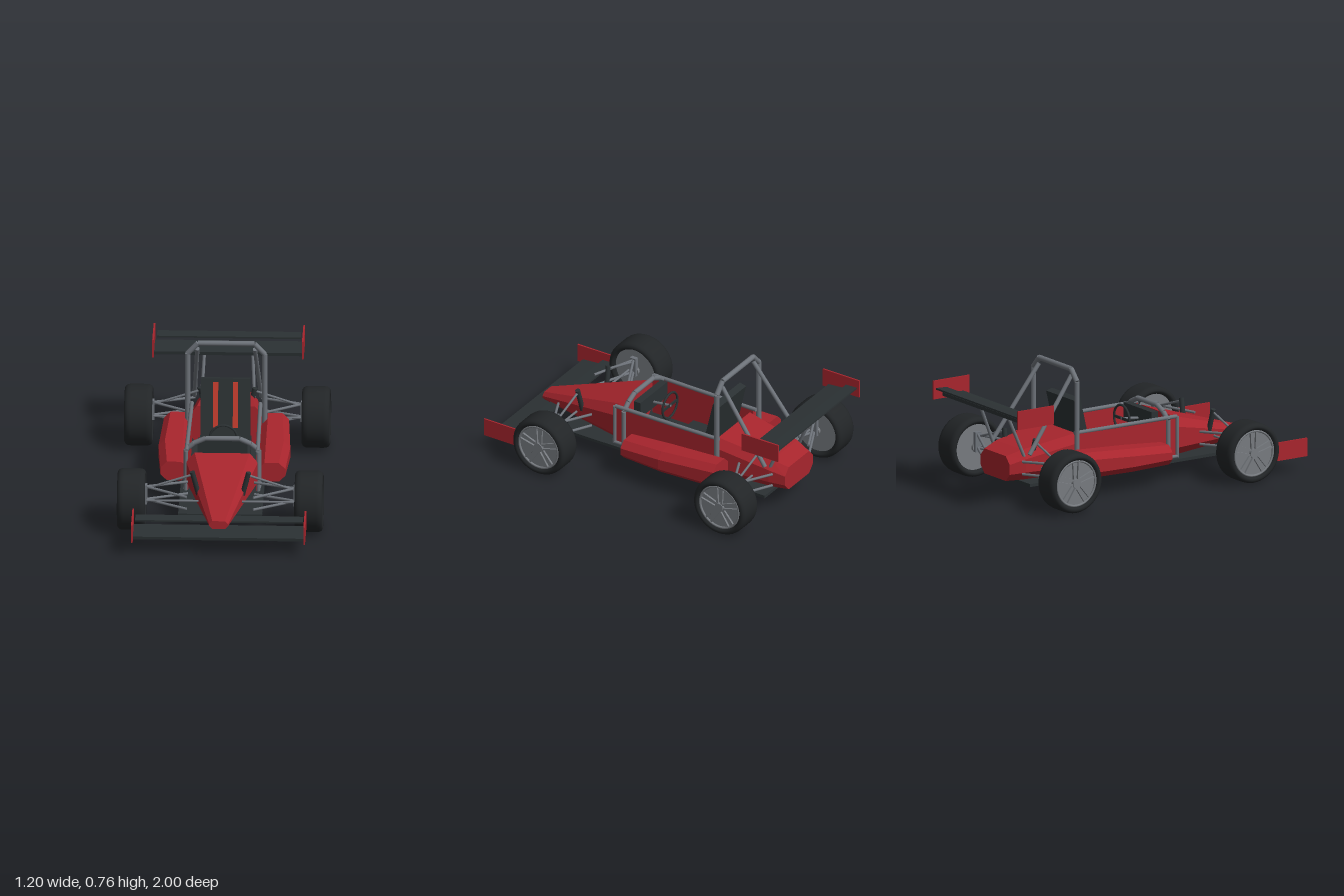
import * as THREE from 'three';

const paint = (color) => new THREE.MeshStandardMaterial({ color });
const red = paint(0xa8252d), dark = paint(0x2b3133), tube = paint(0x6d7279);
const rubber = paint(0x222527), alloy = paint(0x777b80), webbing = paint(0xc43c2e);
const V = (x, y, z) => new THREE.Vector3(x, y, z);

function add(parent, name, geometry, material, x = 0, y = 0, z = 0) {
  const mesh = new THREE.Mesh(geometry, material);
  mesh.name = name;
  mesh.position.set(x, y, z);
  parent.add(mesh);
  return mesh;
}

const box = (parent, name, material, w, h, d, x, y, z) =>
  add(parent, name, new THREE.BoxGeometry(w, h, d), material, x, y, z);

// Straight round bar between two points
function rod(parent, name, a, b, r, material = tube) {
  const dir = b.clone().sub(a);
  const mesh = add(parent, name, new THREE.CylinderGeometry(r, r, dir.length(), 12), material);
  mesh.position.copy(a).add(b).multiplyScalar(0.5);
  mesh.quaternion.setFromUnitVectors(V(0, 1, 0), dir.normalize());
  return mesh;
}

// Chamfered body panel lofted through sections [z, xMin, xMax, yMin, yMax, chamferX, chamferY], rear to front
function loft(sections) {
  const rings = sections.map(([z, x0, x1, y0, y1, cx, cy]) => [
    V(x0 + cx, y0, z), V(x1 - cx, y0, z), V(x1, y0 + cy, z), V(x1, y1 - cy, z),
    V(x1 - cx, y1, z), V(x0 + cx, y1, z), V(x0, y1 - cy, z), V(x0, y0 + cy, z)]);
  const pts = [];
  for (let k = 0; k < rings.length - 1; k++) {
    for (let j = 0; j < 8; j++) {
      const a = rings[k][j], b = rings[k][(j + 1) % 8];
      const c = rings[k + 1][(j + 1) % 8], d = rings[k + 1][j];
      pts.push(a, b, c, a, c, d);
    }
  }
  const back = rings[0], front = rings[rings.length - 1];
  for (let j = 1; j < 7; j++) pts.push(front[0], front[j], front[j + 1], back[0], back[j + 1], back[j]);
  const g = new THREE.BufferGeometry().setFromPoints(pts);
  g.computeVertexNormals();
  return g;
}

// Wheel with its axle along x and its outer face on +x
function makeWheel(name) {
  const wheel = new THREE.Group();
  wheel.name = name;
  const half = [[0.138, 0.066], [0.148, 0.08], [0.16, 0.082], [0.171, 0.075], [0.178, 0.062], [0.18, 0.045]];
  const profile = [...half.map(([r, y]) => [r, -y]), ...half.slice().reverse(), half[0].map((v, i) => (i ? -v : v))]
    .map(([r, y]) => new THREE.Vector2(r, y));
  add(wheel, 'tyre', new THREE.LatheGeometry(profile, 48).rotateZ(-Math.PI / 2), rubber);
  const cyl = (n, r, w, x) =>
    add(wheel, n, new THREE.CylinderGeometry(r, r, w, 40).rotateZ(Math.PI / 2), alloy, x);
  cyl('rimDisc', 0.139, 0.115, 0);
  cyl('hub', 0.028, 0.15, 0);
  add(wheel, 'rimLip', new THREE.TorusGeometry(0.134, 0.007, 8, 40).rotateY(Math.PI / 2), alloy, 0.066);
  for (let i = 0; i < 5; i++) {
    for (const side of [-1, 1]) {
      const g = new THREE.BoxGeometry(0.016, 0.115, 0.012);
      g.translate(0.062, 0.077, 0).rotateX(side * 0.06).translate(0, 0, side * 0.012);
      add(wheel, 'spoke', g.rotateX((i * Math.PI * 2) / 5), alloy);
    }
  }
  return wheel;
}

// Roll hoop made of straight bars, given one half of its outline from floor to top
function makeHoop(parent, name, half, z, r) {
  const hoop = new THREE.Group();
  hoop.name = name;
  const pts = [...half, ...half.slice().reverse().map(([x, y]) => [-x, y])].map(([x, y]) => V(x, y, z));
  for (let i = 0; i < pts.length - 1; i++) rod(hoop, 'hoopBar', pts[i], pts[i + 1], r);
  parent.add(hoop);
}

export function createModel() {
  const car = new THREE.Group();
  car.name = 'openWheelRaceCar';

  // Body
  box(car, 'floor', dark, 0.49, 0.018, 1.415, 0, 0.109, -0.073);
  add(car, 'nose', loft([
    [0.285, -0.21, 0.21, 0.12, 0.357, 0.05, 0.055],
    [0.885, -0.055, 0.055, 0.13, 0.18, 0.018, 0.02]]), red);
  add(car, 'engineCover', loft([
    [-0.86, -0.15, 0.15, 0.12, 0.27, 0.04, 0.045],
    [-0.76, -0.175, 0.175, 0.12, 0.3, 0.04, 0.05],
    [-0.41, -0.21, 0.21, 0.12, 0.357, 0.04, 0.05]]), red);
  for (const s of [1, -1]) {
    box(car, 'cockpitSide', red, 0.012, 0.245, 0.7, s * 0.204, 0.24, -0.065);
    const pod = [[-0.5, 0.365, 0.28], [-0.13, 0.385, 0.26], [0.145, 0.365, 0.238]].map(([z, x, y]) =>
      [z, s > 0 ? 0.205 : -x, s > 0 ? x : -0.205, 0.12, y, 0.038, 0.038]);
    add(car, 'sidePod', loft(pod), red);
  }

  // Cockpit
  box(car, 'seatBase', dark, 0.3, 0.06, 0.34, 0, 0.16, -0.2);
  const seat = new THREE.Group();
  seat.name = 'seatBack';
  seat.position.set(0, 0.17, -0.29);
  seat.rotation.x = -0.23;
  box(seat, 'backrest', dark, 0.29, 0.39, 0.045, 0, 0.195, 0);
  for (const s of [1, -1]) box(seat, 'shoulderBelt', webbing, 0.03, 0.27, 0.006, s * 0.058, 0.235, 0.026);
  car.add(seat);
  box(car, 'beltBuckle', alloy, 0.04, 0.02, 0.04, 0, 0.2, -0.13);
  box(car, 'dashboard', dark, 0.29, 0.1, 0.045, 0, 0.345, 0.17);
  add(car, 'steeringWheel', new THREE.TorusGeometry(0.08, 0.007, 8, 32), dark, 0, 0.345, 0.035);
  box(car, 'steeringSpoke', dark, 0.155, 0.016, 0.008, 0, 0.345, 0.035);
  rod(car, 'steeringColumn', V(0, 0.345, 0.03), V(0, 0.33, 0.16), 0.008);

  // Tubular frame
  makeHoop(car, 'mainHoop', [[0.225, 0.12], [0.225, 0.68], [0.165, 0.745]], -0.435, 0.016);
  makeHoop(car, 'frontHoop', [[0.212, 0.12], [0.212, 0.35], [0.165, 0.39], [0.1, 0.42]], 0.218, 0.015);
  for (const s of [1, -1]) {
    rod(car, 'upperRail', V(s * 0.208, 0.366, 0.28), V(s * 0.2, 0.366, -0.435), 0.012);
    rod(car, 'lowerRail', V(s * 0.215, 0.127, 0.28), V(s * 0.215, 0.127, -0.435), 0.01);
    rod(car, 'frontPost', V(s * 0.212, 0.12, 0.283), V(s * 0.21, 0.366, 0.283), 0.011);
    rod(car, 'rearBrace', V(s * 0.168, 0.71, -0.435), V(s * 0.195, 0.28, -0.75), 0.013);
    rod(car, 'wingSupport', V(s * 0.14, 0.525, -0.87), V(s * 0.155, 0.25, -0.755), 0.01);
  }

  // Wheels and suspension
  for (const [end, z, damperX] of [['front', 0.57, 0.165], ['rear', -0.685, 0.16]]) {
    for (const s of [1, -1]) {
      const wheel = makeWheel(end + (s > 0 ? 'LeftWheel' : 'RightWheel'));
      wheel.position.set(s * 0.518, 0.18, z);
      if (s < 0) wheel.rotation.y = Math.PI;
      car.add(wheel);
      const arms = new THREE.Group();
      arms.name = end + 'Suspension';
      for (const dz of [-0.115, 0.115]) {
        rod(arms, 'upperArm', V(s * 0.435, 0.26, z), V(s * 0.195, 0.245, z + dz), 0.008);
        rod(arms, 'lowerArm', V(s * 0.435, 0.18, z), V(s * 0.195, 0.17, z + dz), 0.008);
      }
      rod(arms, 'pushRod', V(s * 0.43, 0.25, z), V(s * 0.16, 0.34, z), 0.007);
      rod(arms, 'trackRod', V(s * 0.43, 0.185, z + 0.03), V(s * 0.12, 0.185, z + 0.03), 0.007);
      rod(arms, 'damper', V(s * damperX, 0.357, z), V(s * 0.128, 0.21, z - 0.01), 0.015, dark);
      box(arms, 'upright', tube, 0.025, 0.12, 0.04, s * 0.44, 0.215, z);
      car.add(arms);
    }
  }

  // Wings: main plane, flap and end plates
  const wing = (name, parts, plate) => {
    const g = new THREE.Group();
    g.name = name;
    for (const [n, w, h, d, y, z, tilt] of parts) box(g, n, dark, w, h, d, 0, y, z).rotation.x = tilt;
    for (const s of [1, -1]) box(g, 'endPlate', red, 0.01, plate.h, plate.d, s * plate.x, plate.y, plate.z);
    car.add(g);
  };
  wing('frontWing', [
    ['mainPlane', 1.0, 0.018, 0.16, 0.105, 0.88, 0.08],
    ['flap', 0.98, 0.01, 0.075, 0.15, 0.782, 0.05]], { x: 0.503, h: 0.11, d: 0.26, y: 0.14, z: 0.87 });
  wing('rearWing', [
    ['mainPlane', 0.87, 0.02, 0.15, 0.535, -0.862, 0.08],
    ['flap', 0.84, 0.01, 0.075, 0.58, -0.953, 0.05]], { x: 0.437, h: 0.112, d: 0.255, y: 0.572, z: -0.8725 });

  return car;
}
